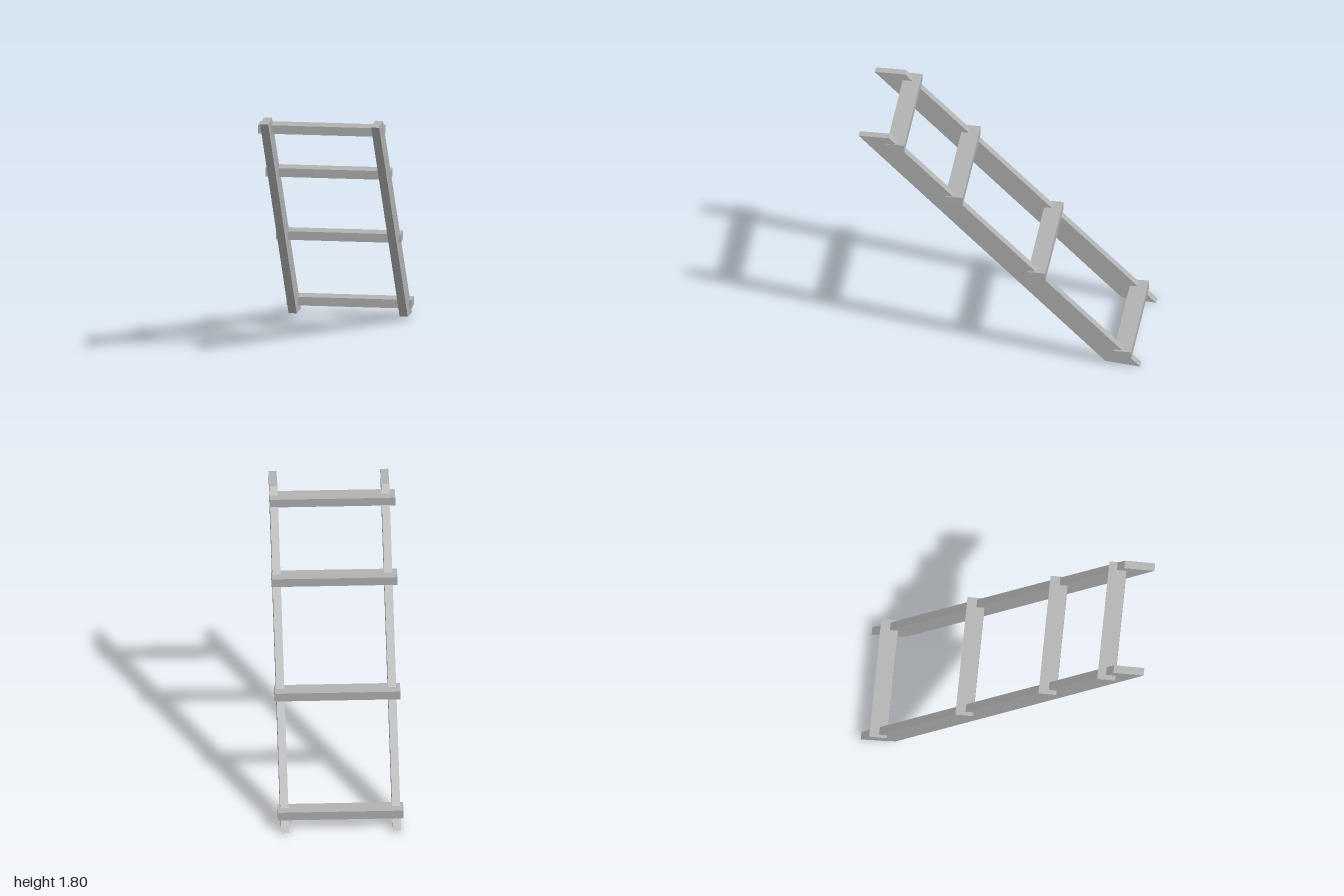
import * as THREE from 'three';

export function createModel() {
  const group = new THREE.Group();
  const grey = new THREE.MeshStandardMaterial({ color: 0xb2b2b2 });
  grey.name = 'grey wood';

  // Side rails: slanted profile in (z, y), leaning slightly towards +x
  const thickness = 0.057;
  const lean = 0.018 / 1.8;
  const profile = new THREE.Shape(
    [[1, 1.8], [0.785, 1.8], [-1, 0], [-0.752, 0.026]].map(([z, y]) => new THREE.Vector2(z, y))
  );
  const railGeometry = new THREE.ExtrudeGeometry(profile, { depth: thickness, bevelEnabled: false });
  railGeometry.translate(0, 0, -thickness / 2);
  railGeometry.rotateY(-Math.PI / 2);
  const pos = railGeometry.attributes.position;
  for (let i = 0; i < pos.count; i++) pos.setX(i, pos.getX(i) + lean * pos.getY(i));
  railGeometry.computeVertexNormals();

  for (const [name, x] of [['leftRail', 0.392], ['rightRail', -0.396]]) {
    const rail = new THREE.Mesh(railGeometry, grey);
    rail.name = name;
    rail.position.x = x;
    group.add(rail);
  }

  // Treads: flat boards crossing both rails, as [y, z] centres
  const treadGeometry = new THREE.BoxGeometry(0.886, 0.062, 0.125);
  [[0.1, -0.876], [0.717, -0.266], [1.31, 0.322], [1.718, 0.738]].forEach(([y, z], i) => {
    const tread = new THREE.Mesh(treadGeometry, grey);
    tread.name = `tread${i + 1}`;
    tread.position.set(-0.002, y, z);
    group.add(tread);
  });

  return group;
}
